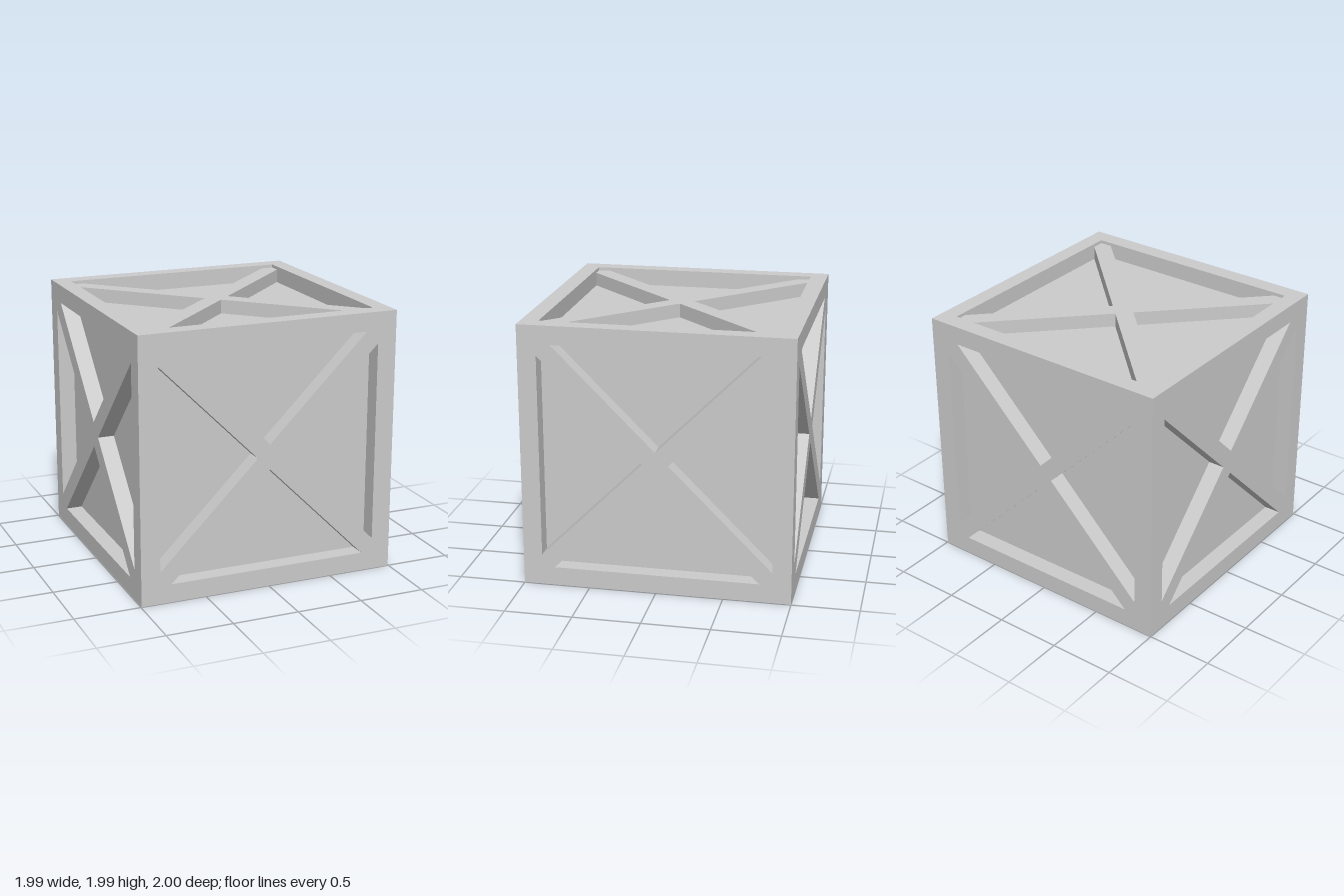
import * as THREE from 'three';

const W = 0.995, H = 1.99, D = 1;   // half width, height, half depth
const CORE = 0.87;                  // half size of the recessed inner box
const BEAM = 0.13;                  // height of the top and bottom frames
const BRACE = 0.095;                // half width of a diagonal brace, measured along an axis

const path = (points) => points.map(([x, y]) => new THREE.Vector2(x, y));

function rectangle(x0, x1, y0, y1) {
  return path([[x0, y0], [x1, y0], [x1, y1], [x0, y1]]);
}

function extrude(outline, holes, depth) {
  const shape = new THREE.Shape(outline);
  holes.forEach((h) => shape.holes.push(new THREE.Path(h)));
  return new THREE.ExtrudeGeometry(shape, { depth, bevelEnabled: false });
}

// Four triangular openings left between an X of braces centred at height cy
function triangles(ax, y0, y1, cy) {
  const up = y1 - cy - BRACE, down = cy - BRACE - y0, side = ax - BRACE;
  const right = [[BRACE, cy], [ax, cy - side], [ax, cy + side]];
  return [
    path([[0, cy + BRACE], [up, y1], [-up, y1]]),
    path([[0, cy - BRACE], [-down, y0], [down, y0]]),
    path(right),
    path(right.map(([x, y]) => [-x, y]).reverse()),
  ];
}

export function createModel() {
  const group = new THREE.Group();
  const material = new THREE.MeshStandardMaterial({ color: 0xcccccc, flatShading: true });
  const add = (name, geometry) => {
    const mesh = new THREE.Mesh(geometry, material);
    mesh.name = name;
    group.add(mesh);
    return mesh;
  };

  // Recessed panels
  const core = add('innerPanels', new THREE.BoxGeometry(2 * CORE, H - 2 * BEAM, 2 * CORE));
  core.position.y = H / 2;

  // Square frames around the open top and bottom
  const ring = extrude(rectangle(-W, W, -D, D), [rectangle(-CORE, CORE, -CORE, CORE)], BEAM);
  ring.rotateX(-Math.PI / 2);
  add('bottomFrame', ring);
  add('topFrame', ring).position.y = H - BEAM;

  // Front and back walls with X braces
  const faceWall = extrude(rectangle(-W, W, BEAM, H - BEAM), triangles(0.85, 0.14, 1.85, 1), D - CORE);
  faceWall.translate(0, 0, CORE);
  add('frontBraces', faceWall);
  add('backBraces', faceWall).rotation.y = Math.PI;

  // Side walls fit between the front and back walls
  const sideWall = extrude(rectangle(-CORE, CORE, BEAM, H - BEAM), triangles(0.86, 0.14, 1.85, 1), W - CORE);
  sideWall.translate(0, 0, CORE);
  add('leftBraces', sideWall).rotation.y = Math.PI / 2;
  add('rightBraces', sideWall).rotation.y = -Math.PI / 2;

  // Lid braces sit slightly below the rim; their border is buried in the top frame
  const lid = extrude(rectangle(-0.9, 0.9, -0.9, 0.9), triangles(0.88, -0.88, 0.88, 0), 0.105);
  lid.rotateX(-Math.PI / 2);
  add('topBraces', lid).position.y = H - BEAM;

  return group;
}
